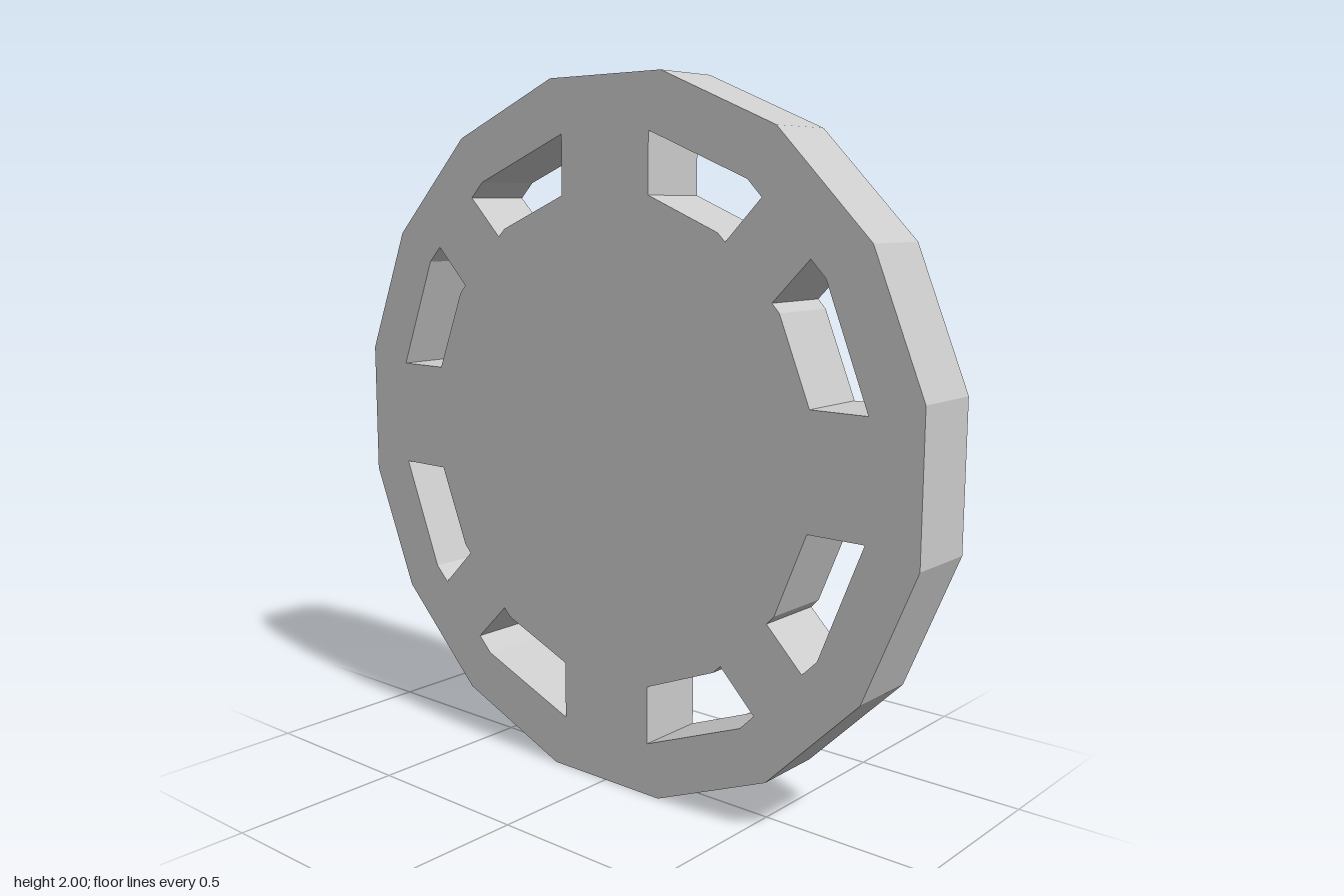
import * as THREE from 'three';

const HALF_WIDTH = 0.104;
const SIDES = 16;

// One slot in the first octant; the other seven are reflections of it.
const SLOT = [
  [0.158, 0.848], [0.158, 0.68], [0.39, 0.585],
  [0.414, 0.562], [0.526, 0.674], [0.481, 0.719],
];

export function createModel() {
  const group = new THREE.Group();
  group.name = 'slottedWheel';

  // Sixteen-sided rim with flats at the top, bottom and sides
  const radius = 1 / Math.cos(Math.PI / SIDES);
  const rim = [];
  for (let i = 0; i < SIDES; i++) {
    const a = ((i + 0.5) / SIDES) * Math.PI * 2;
    rim.push(new THREE.Vector2(Math.cos(a) * radius, Math.sin(a) * radius));
  }
  const outline = new THREE.Shape(rim);

  // Eight slots, mirrored across both axes and the diagonals
  for (const sx of [1, -1]) {
    for (const sy of [1, -1]) {
      for (const swap of [false, true]) {
        const points = SLOT.map(([a, b]) =>
          swap ? new THREE.Vector2(sx * b, sy * a) : new THREE.Vector2(sx * a, sy * b));
        outline.holes.push(new THREE.Path(points));
      }
    }
  }

  // Thin disc with its axle along x
  const geometry = new THREE.ExtrudeGeometry(outline, { depth: HALF_WIDTH * 2, bevelEnabled: false });
  geometry.translate(0, 0, -HALF_WIDTH);
  geometry.rotateY(Math.PI / 2);
  geometry.translate(0, 1, 0);

  const disc = new THREE.Mesh(
    geometry,
    new THREE.MeshStandardMaterial({ color: 0xcccccc, flatShading: true }));
  disc.name = 'wheelDisc';
  group.add(disc);
  return group;
}
